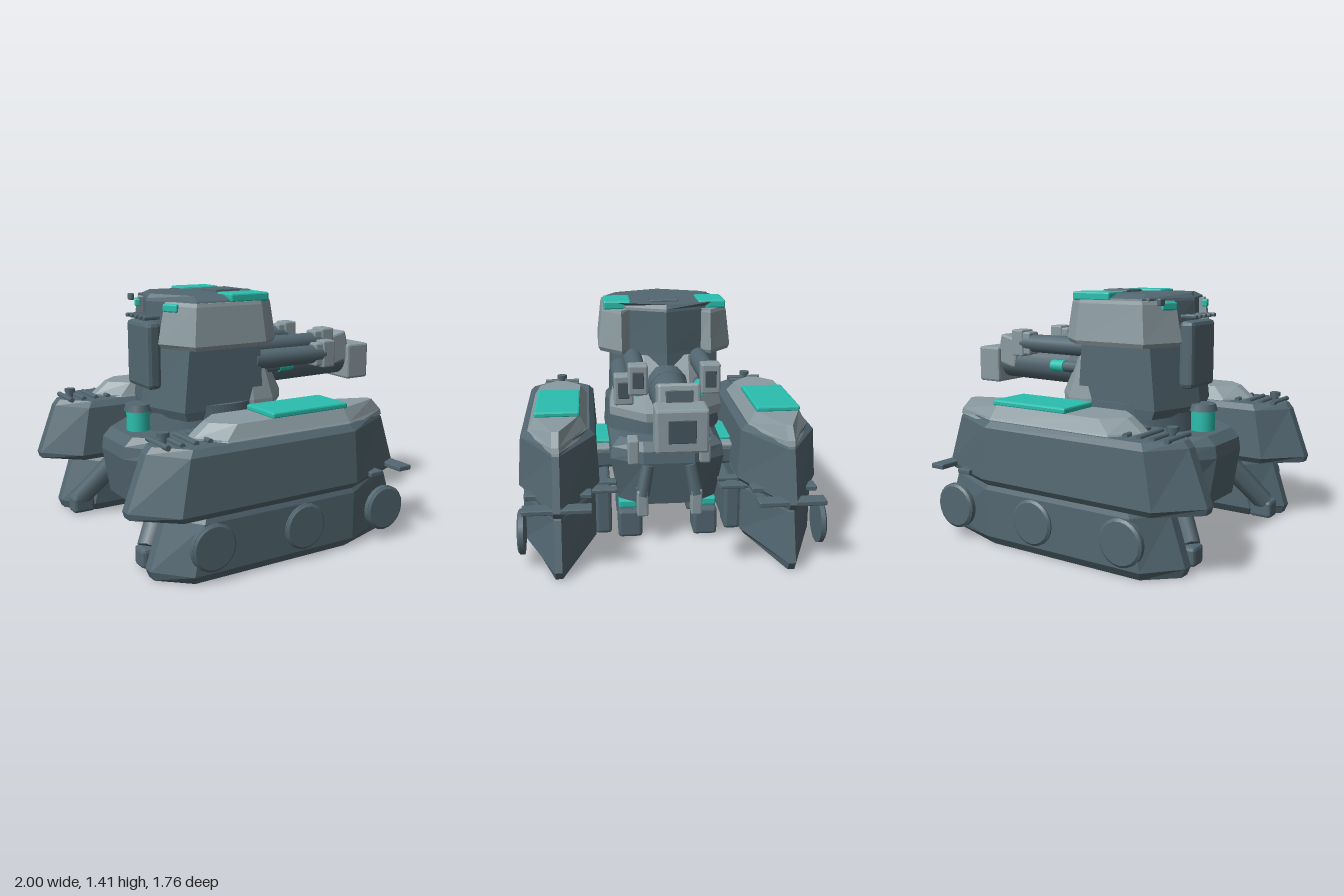
import * as THREE from 'three';
import { RoundedBoxGeometry } from 'three/addons/geometries/RoundedBoxGeometry.js';

const mat = (name, color) => {
  const m = new THREE.MeshStandardMaterial({ color });
  m.name = name;
  return m;
};

export function createModel() {
  const dark = mat('slate armour', 0x536771);
  const light = mat('pale grey armour', 0x8b9ba1);
  const teal = mat('teal panels', 0x2abfae);
  const hole = mat('muzzle shadow', 0x46565f);
  const model = new THREE.Group();
  model.name = 'twinTrackTank';

  const add = (name, geo, material, pos = [0, 0, 0], rot = [0, 0, 0]) => {
    const mesh = new THREE.Mesh(geo, material);
    mesh.name = name;
    mesh.position.set(...pos);
    mesh.rotation.set(...rot);
    model.add(mesh);
    return mesh;
  };

  // Chamfered box given by its centre and size
  const box = (name, material, pos, size, bevel = 0.01, rot) => {
    const g = new RoundedBoxGeometry(...size, 1, Math.min(bevel, Math.min(...size) * 0.45));
    g.computeVertexNormals();
    return add(name, g, material, pos, rot);
  };

  // Cylinder between two points
  const rod = (name, material, a, b, r0, r1 = r0, sides = 16) => {
    const p = new THREE.Vector3(...a), q = new THREE.Vector3(...b);
    const mesh = add(name, new THREE.CylinderGeometry(r1, r0, p.distanceTo(q), sides), material);
    mesh.position.copy(p).lerp(q, 0.5);
    mesh.quaternion.setFromUnitVectors(new THREE.Vector3(0, 1, 0), q.sub(p).normalize());
    return mesh;
  };

  // Faceted solid from [y, outline] sections, outlines listed rear, +z, front, -z
  const loft = (name, material, sections, pos, flip = false) => {
    const rings = sections.map(([y, pts]) => {
      const ring = pts.map(([x, z]) => [x, y, flip ? -z : z]);
      return flip ? ring.reverse() : ring;
    });
    const n = rings[0].length, verts = [];
    const tri = (a, b, c) => verts.push(...a, ...b, ...c);
    for (let s = 0; s + 1 < rings.length; s++) {
      for (let i = 0; i < n; i++) {
        const j = (i + 1) % n, lo = rings[s], hi = rings[s + 1];
        tri(lo[i], lo[j], hi[j]);
        tri(lo[i], hi[j], hi[i]);
      }
    }
    const bottom = rings[0], top = rings[rings.length - 1];
    for (let i = 1; i + 1 < n; i++) {
      tri(top[0], top[i], top[i + 1]);
      tri(bottom[0], bottom[i + 1], bottom[i]);
    }
    const g = new THREE.BufferGeometry();
    g.setAttribute('position', new THREE.Float32BufferAttribute(verts, 3));
    g.computeVertexNormals();
    return add(name, g, material, pos);
  };

  // Boat-shaped outline: rear point, rear shoulder, front shoulder, blunt bow
  const boat = (xr, xs, xm, xf, w) => [
    [xr, 0.03], [xs, w], [xm, w], [xf, 0.02], [xf, -0.02], [xm, -w], [xs, -w], [xr, -0.03]];
  // Six-sided outline symmetric in z
  const hex = (xr, xs, xm, xf, w) => [[xr, 0], [xs, w], [xm, w], [xf, 0], [xm, -w], [xs, -w]];

  for (const s of [1, -1]) {
    const zc = s * 0.645;
    // Track pods
    loft('lowerPod', dark, [
      [0, boat(-0.86, -0.7, 0.27, 0.75, 0.175)],
      [0.05, boat(-0.88, -0.72, 0.3, 0.78, 0.21)],
      [0.32, boat(-0.79, -0.66, 0.3, 0.69, 0.21)],
      [0.36, boat(-0.77, -0.64, 0.28, 0.67, 0.195)]], [0, 0, zc]);
    loft('upperPod', dark, [
      [0.35, boat(-0.99, -0.78, 0.28, 0.73, 0.21)],
      [0.385, boat(-1, -0.8, 0.3, 0.75, 0.235)],
      [0.675, boat(-0.89, -0.74, 0.29, 0.65, 0.215)],
      [0.71, boat(-0.86, -0.71, 0.27, 0.62, 0.185)]], [0, 0, zc]);
    loft('podDeckArmour', light, [
      [0.69, boat(-0.62, -0.5, 0.29, 0.65, 0.185)],
      [0.72, boat(-0.62, -0.5, 0.29, 0.64, 0.165)],
      [0.79, boat(-0.53, -0.42, 0.27, 0.57, 0.13)]], [0, 0, zc]);
    box('podDeckPanel', teal, [0.05, 0.802, zc], [0.5, 0.035, 0.26]);
    for (let i = 0; i < 4; i++) {
      rod('coolingSlot', dark, [-0.81 + i * 0.08, 0.715, zc - 0.115],
        [-0.81 + i * 0.08, 0.715, zc + 0.115], 0.016, 0.016, 8);
    }
    rod('podKnob', dark, [-0.78, 0.7, zc], [-0.78, 0.75, zc], 0.018, 0.018, 6);
    rod('podKnobCap', dark, [-0.78, 0.742, zc], [-0.78, 0.768, zc], 0.033, 0.033, 6);
    for (const x of [-0.61, -0.04, 0.525]) {
      rod('wheelDisc', dark, [x, 0.19, s * 0.838], [x, 0.19, s * 0.864], 0.13, 0.13, 20);
      rod('wheelFace', dark, [x, 0.19, s * 0.863], [x, 0.19, s * 0.874], 0.13, 0.115, 20);
    }
    for (const x of [0.485, 0.7]) {
      box('bowBar', dark, [x, 0.39, zc], [0.09, 0.03, 0.38], 0.006);
    }

    // Links between hull and pods
    box('sideLink', dark, [-0.2, 0.43, s * 0.39], [0.46, 0.12, 0.17], 0.02);
    box('sideLinkDeck', light, [-0.2, 0.497, s * 0.39], [0.5, 0.03, 0.15], 0.01);
    box('sideLinkPanel', teal, [-0.2, 0.52, s * 0.39], [0.33, 0.025, 0.12], 0.008);
    box('frontAxle', dark, [0.2, 0.19, s * 0.39], [0.16, 0.3, 0.1], 0.02);
    for (const x of [0.2, 0.325]) {
      box('linkBar', dark, [x, 0.345, s * 0.4], [0.065, 0.025, 0.19], 0.006);
    }
    box('lowerTread', dark, [-0.1, 0.16, s * 0.39], [0.5, 0.2, 0.1], 0.02);
    rod('rearLeg', dark, [-0.55, 0.44, s * 0.28], [-0.8, 0.1, s * 0.48], 0.07, 0.06, 6);
    box('rearFoot', dark, [-0.79, 0.06, s * 0.49], [0.14, 0.11, 0.11], 0.02);

    // Hull front fittings
    box('frontLug', light, [0.29, 0.575, s * 0.21], [0.12, 0.15, 0.065]);
    rod('frontStrut', dark, [0.33, 0.49, s * 0.125], [0.35, 0.31, s * 0.16], 0.036, 0.042, 6);
    box('strutEnd', light, [0.33, 0.265, s * 0.16], [0.1, 0.16, 0.065]);
    // Two rows of feet under the hull
    for (const x of [0.17, -0.2]) {
      box('footPanel', teal, [x - 0.03, 0.205, s * 0.24], [0.18, 0.05, 0.11]);
      box('foot', dark, [x, 0.088, s * 0.228], [0.18, 0.175, 0.145], 0.018);
    }

    // Turret shoulders, built once and flipped for the far side
    const shoulder = (d) => [[-0.56 + d, 0.17], [-0.45 + d * 0.6, 0.395 - d * 0.6],
      [0.01 - d * 0.4, 0.395 - d * 0.6], [0.165 - d, 0.26], [0.05, 0.2], [-0.4, 0.17]];
    loft('shoulderArmour', light, [
      [1.11, shoulder(0.02)], [1.135, shoulder(0)], [1.345, shoulder(0.04)], [1.365, shoulder(0.05)]],
    [0, 0, 0], s < 0);
    box('shoulderPanel', teal, [-0.075, 1.385, s * 0.28], [0.25, 0.05, 0.16]);
    box('rearCornerLight', teal, [-0.498, 1.335, s * 0.215], [0.035, 0.045, 0.1], 0.008, [0, s * 0.42, 0]);
    rod('turretLamp', teal, [0.24, 0.945, s * 0.185], [0.335, 0.945, s * 0.185], 0.038, 0.036, 12);
    rod('lampArm', dark, [0.08, 0.945, s * 0.185], [0.25, 0.945, s * 0.185], 0.034, 0.034, 8);
  }

  // Central hull
  const hull = (d) => [[-0.78 + d, -0.15], [-0.78 + d, 0.15], [-0.62 + d, 0.36 - d],
    [0.22 - d, 0.34 - d], [0.34 - d, 0.15], [0.34 - d, -0.15], [0.22 - d, -0.34 + d], [-0.62 + d, -0.36 + d]];
  loft('hull', dark, [[0.23, hull(0.045)], [0.5, hull(0)], [0.57, hull(0.01)], [0.62, hull(0.06)]]);
  rod('rearCanister', teal, [-0.61, 0.5, 0], [-0.61, 0.745, 0], 0.07);
  rod('canisterCap', dark, [-0.61, 0.735, 0], [-0.61, 0.775, 0], 0.085, 0.075, 10);

  // Turret
  rod('turretRing', dark, [-0.2, 0.61, 0], [-0.2, 0.79, 0], 0.365, 0.355, 32);
  loft('turretBase', dark, [
    [0.71, hex(-0.57, -0.46, 0.02, 0.2, 0.32)], [0.76, hex(-0.59, -0.48, 0.04, 0.2, 0.325)],
    [1.12, hex(-0.55, -0.44, 0.02, 0.17, 0.315)], [1.36, hex(-0.545, -0.41, 0.0, 0.165, 0.355)],
    [1.375, hex(-0.54, -0.41, 0.0, 0.16, 0.345)], [1.4, hex(-0.52, -0.39, 0.05, 0.14, 0.275)]]);
  // Sloped collar with a flat nose below the cannon
  const collar = (xs, xf, w) => [[-0.1, w - 0.03], [-0.03, w], [xs, w], [xf, 0.13],
    [xf, -0.13], [xs, -w], [-0.03, -w], [-0.1, -w + 0.03]];
  loft('turretCollar', light, [
    [0.74, collar(0.1, 0.29, 0.335)], [0.79, collar(0.1, 0.29, 0.335)],
    [1.02, collar(0.05, 0.17, 0.295)], [1.1, collar(0.01, 0.12, 0.27)]]);
  box('roofHatch', dark, [-0.055, 1.402, 0], [0.17, 0.025, 0.17], 0.008);
  box('rearPack', dark, [-0.565, 1.06, 0], [0.09, 0.38, 0.28], 0.025);
  for (let i = 0; i < 5; i++) {
    box('rearVentFin', dark, [-0.57, 1.275, -0.11 + i * 0.055], [0.1, 0.022, 0.025], 0.006);
  }
  for (const x of [-0.5, -0.43, -0.36]) {
    box('roofRib', dark, [x, 1.36, -0.3], [0.025, 0.04, 0.05], 0.006);
  }

  // Main cannon
  rod('cannonMantlet', dark, [0.1, 0.925, 0], [0.28, 0.925, 0], 0.135, 0.115, 12);
  rod('cannonBarrel', dark, [0.2, 0.925, 0], [0.86, 0.925, 0], 0.112, 0.105, 20);
  box('sightBlock', light, [0.77, 1.0, 0], [0.16, 0.19, 0.22], 0.014, [0, 0, 0.25]);
  box('sightOpening', hole, [0.852, 1.04, 0], [0.008, 0.08, 0.14], 0.003, [0, 0, 0.25]);
  box('cannonMuzzle', light, [0.913, 0.907, 0], [0.168, 0.228, 0.27], 0.014);
  box('cannonBore', hole, [0.996, 0.907, 0], [0.008, 0.12, 0.14], 0.003);

  // Secondary guns: y, z, muzzle centre x
  for (const [y, z, x] of [[1.075, 0.195, 0.55], [1.075, -0.195, 0.55], [1.01, 0.27, 0.505]]) {
    rod('gunBarrel', dark, [0, y, z], [x, y, z], 0.058, 0.055, 14);
    box('gunSleeve', light, [x - 0.03, y, z], [0.09, 0.14, 0.09]);
    box('gunMuzzle', light, [x + 0.02, y, z], [0.09, 0.165, 0.105]);
    box('gunBore', hole, [x + 0.065, y, z], [0.008, 0.09, 0.06], 0.003);
  }
  return model;
}
